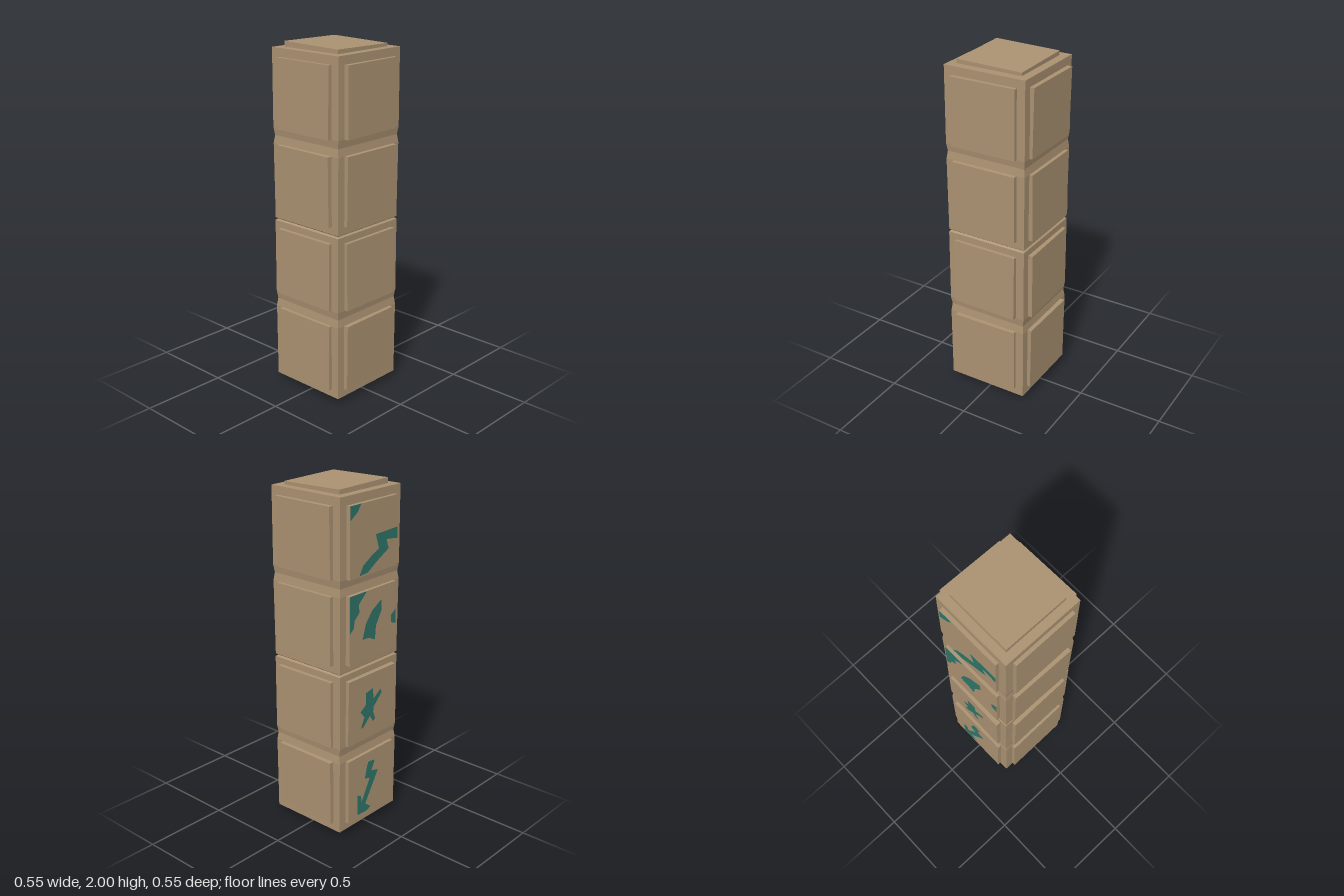
import * as THREE from 'three';

const SIZE = 0.39; // edge of a raised panel
const DEPTH = 0.07;

// Painted marks on the back panels, top block first: outlines in panel units, x right, y down
const MARKS = [
  [
    [[0, 0], [.22, 0], [.15, .1], [0, .2]],
    [[.19, .98], [.27, .85], [.44, .75], [.6, .68], [.53, .47], [1, .45], [1, .61],
      [.76, .58], [.81, .72], [.56, .85], [.36, .97]],
  ],
  [
    [[0, 0], [.36, 0], [.19, .15], [.2, .27], [.1, .36], [.08, .47], [0, .53]],
    [[.68, .19], [.68, .35], [.56, .55], [.54, .75], [.41, .69], [.27, .68], [.34, .47], [.47, .31]],
    [[1, .41], [.9, .48], [.9, .59], [1, .63]],
  ],
  [
    [[.36, .27], [.51, .24], [.53, .41], [.68, .3], [.71, .36], [.54, .54], [.53, .62], [.58, .74],
      [.53, .77], [.46, .66], [.32, .8], [.27, .8], [.34, .64], [.25, .54], [.37, .45]],
  ],
  [
    [[.44, .15], [.59, .17], [.51, .32], [.66, .36], [.37, .82], [.49, .91], [.41, .95], [.19, .94],
      [.19, .61], [.27, .65], [.29, .75], [.47, .43], [.36, .4], [.41, .22]],
  ],
];

export function createModel() {
  const stone = new THREE.MeshStandardMaterial({ color: 0xab9272 });
  stone.name = 'sandstone';
  stone.flatShading = true;
  const paint = new THREE.MeshStandardMaterial({ color: 0x2f7568 });
  paint.name = 'teal paint';
  paint.side = THREE.DoubleSide;

  const model = new THREE.Group();
  model.name = 'stonePillar';

  // Square shaft, pinched slightly at the joints and notched in the middle
  const r = Math.SQRT2;
  const profile = [[0, .033], [.243, .033], [.244, .47], [.238, .515], [.244, .56], [.243, .992],
    [.232, 1], [.242, 1.008], [.244, 1.44], [.238, 1.485], [.244, 1.53], [.243, 1.968], [0, 1.97]]
    .map(([x, y]) => new THREE.Vector2(x * r, y));
  const shaft = new THREE.Mesh(new THREE.LatheGeometry(profile, 4, Math.PI / 4), stone);
  shaft.name = 'shaft';
  model.add(shaft);

  // Slightly tilted slab whose outer face sits on the group's origin plane
  const slabGeometry = new THREE.BoxGeometry(SIZE, SIZE, DEPTH);
  slabGeometry.translate(0, 0, -DEPTH / 2);
  function panel(name, tiltX, tiltY) {
    const group = new THREE.Group();
    group.name = name;
    group.rotation.set(tiltX, tiltY, 0);
    const slab = new THREE.Mesh(slabGeometry, stone);
    slab.name = 'slab';
    group.add(slab);
    return group;
  }

  function addMarks(group, outlines) {
    const shapes = outlines.map((points) => new THREE.Shape(
      points.map(([u, v]) => new THREE.Vector2((u - .5) * SIZE, (.5 - v) * SIZE))));
    const marks = new THREE.Mesh(new THREE.ShapeGeometry(shapes), paint);
    marks.name = 'paintedMarks';
    marks.position.z = .0015;
    group.add(marks);
  }

  // Four panels on each of the four sides
  const heights = [1.725, 1.245, .76, .275];
  ['front', 'left', 'back', 'right'].forEach((sideName, s) => {
    const side = new THREE.Group();
    side.name = sideName + 'Side';
    side.rotation.y = s * Math.PI / 2;
    heights.forEach((y, i) => {
      const tiltX = .016 * Math.sin(i * 2.3 + s * 1.7);
      const tiltY = .016 * Math.cos(i * 1.9 + s * 2.6);
      const p = panel('sidePanel', tiltX, tiltY);
      p.position.set(0, y, .267);
      if (sideName === 'back') addMarks(p, MARKS[i]);
      side.add(p);
    });
    model.add(side);
  });

  // Cap and base panels
  const cap = panel('capPanel', -Math.PI / 2 + .02, .015);
  cap.position.y = 1.993;
  const base = panel('basePanel', Math.PI / 2 + .015, .01);
  base.position.y = .005;
  model.add(cap, base);

  return model;
}
